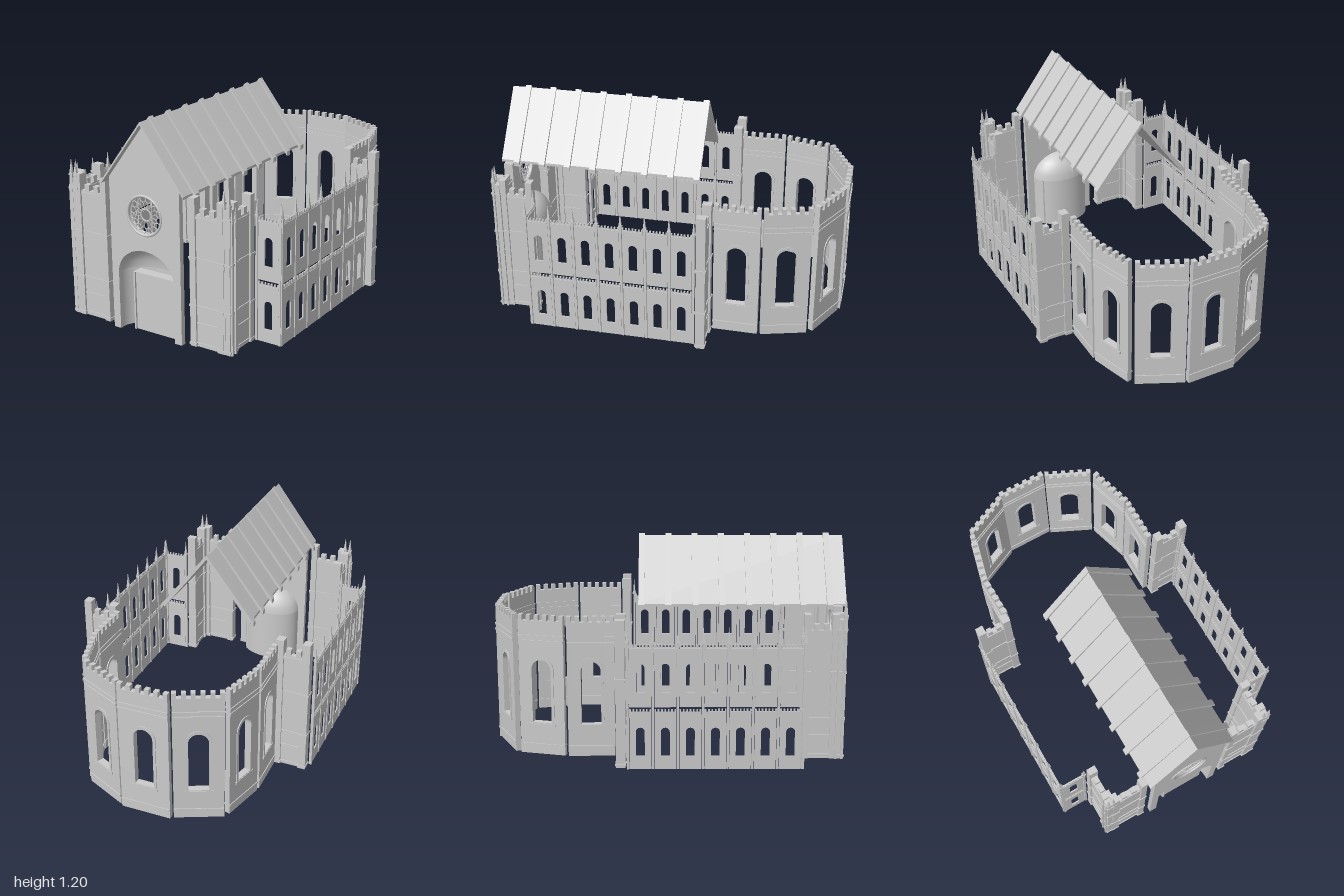
import * as THREE from 'three';

const mat = new THREE.MeshStandardMaterial({ color: 0xcccccc, side: THREE.DoubleSide });

function mesh(parent, name, geo, x = 0, y = 0, z = 0) {
  const m = new THREE.Mesh(geo, mat);
  m.name = name;
  m.position.set(x, y, z);
  parent.add(m);
  return m;
}

// box given by its centre in x and z and its bottom and top in y
const block = (parent, name, x, y0, y1, z, w, d) =>
  mesh(parent, name, new THREE.BoxGeometry(w, y1 - y0, d), x, (y0 + y1) / 2, z);

// extrude centred on z = 0
function slab(shape, depth, curveSegments = 12) {
  const g = new THREE.ExtrudeGeometry(shape, { depth, bevelEnabled: false, curveSegments });
  return g.translate(0, 0, -depth / 2);
}

// round-headed opening
function arch(path, x, y0, w, h) {
  path.moveTo(x - w / 2, y0);
  path.lineTo(x + w / 2, y0);
  path.lineTo(x + w / 2, y0 + h - w / 2);
  path.absarc(x, y0 + h - w / 2, w / 2, 0, Math.PI, false);
  path.closePath();
  return path;
}

// wall with battlements along its top
function crenelShape(len, y0, y1, rise, count) {
  const s = new THREE.Shape();
  s.moveTo(-len / 2, y0);
  s.lineTo(len / 2, y0);
  const step = len / (2 * count - 1);
  for (let i = 0; i < count; i++) {
    const x = len / 2 - 2 * i * step;
    s.lineTo(x, y1);
    s.lineTo(x, y1 + rise);
    s.lineTo(x - step, y1 + rise);
    s.lineTo(x - step, y1);
  }
  s.closePath();
  return s;
}

// group whose local x runs from a to b and whose +z faces outward
function span(parent, name, a, b) {
  const g = new THREE.Group();
  g.name = name;
  g.position.set((a[0] + b[0]) / 2, 0, (a[1] + b[1]) / 2);
  g.rotation.y = Math.atan2(a[1] - b[1], b[0] - a[0]);
  g.userData.len = Math.hypot(b[0] - a[0], b[1] - a[1]);
  parent.add(g);
  return g;
}

function pinnacle(parent, x, y0, y1, z, r) {
  const g = new THREE.ConeGeometry(r, y1 - y0, 4).rotateY(Math.PI / 4).toNonIndexed();
  g.computeVertexNormals();
  mesh(parent, 'pinnacle', g, x, (y0 + y1) / 2, z);
  block(parent, 'pinnacleCollar', x, y0 - 0.006, y0 + 0.006, z, r * 1.8, r * 1.8);
}

// two-storey aisle wall divided into window bays
function aisleWall(parent, a, b, bays) {
  const g = span(parent, 'aisleWall', a, b);
  const step = g.userData.len / bays;
  for (let i = 0; i <= bays; i++) {
    const px = -g.userData.len / 2 + i * step;
    block(g, 'pilaster', px, 0.01, 0.71, 0, 0.013, 0.016);
    pinnacle(g, px, 0.71, 0.8, 0, 0.011);
    if (i === bays) break;
    for (const [y0, y1, sill] of [[0.01, 0.335, 0.085], [0.36, 0.69, 0.44]]) {
      const s = crenelShape(step - 0.018, y0, y1, 0.014, 7);
      s.holes.push(arch(new THREE.Path(), 0, sill, 0.048, 0.16));
      mesh(g, 'aisleBay', slab(s, 0.008), px + step / 2);
      block(g, 'bayCornice', px + step / 2, y1 - 0.012, y1 - 0.004, 0, step - 0.018, 0.014);
    }
  }
}

// tall apse panel with a framed window
function apseWall(parent, a, b) {
  const g = span(parent, 'apseWall', a, b), L = g.userData.len;
  const s = crenelShape(L, 0.015, 0.78, 0.032, 6);
  s.holes.push(arch(new THREE.Path(), 0, 0.2, 0.11, 0.36));
  mesh(g, 'apsePanel', slab(s, 0.03));
  const f = arch(new THREE.Shape(), 0, 0.19, 0.142, 0.388);
  f.holes.push(arch(new THREE.Path(), 0, 0.2, 0.11, 0.36));
  mesh(g, 'windowFrame', slab(f, 0.04));
  block(g, 'windowSill', 0, 0.18, 0.195, 0, 0.155, 0.046);
  for (const y of [0.065, 0.66, 0.69]) block(g, 'stringCourse', 0, y, y + 0.01, 0, L, 0.04);
}

// plain battlemented wall held between two tall posts
function towerWall(parent, a, b, post = 0.037) {
  const g = span(parent, 'towerWall', a, b), L = g.userData.len;
  mesh(g, 'towerPanel', slab(crenelShape(L, 0.01, 0.74, 0.035, 4), 0.03));
  for (const y of [0.025, 0.14, 0.235, 0.5, 0.72]) block(g, 'stringCourse', 0, y, y + 0.01, 0, L, 0.04);
  for (const s of [-1, 1]) {
    const x = s * (L - post) / 2;
    block(g, 'towerPost', x, 0.01, 0.83, 0, post, 0.052);
    for (const y of [0.02, 0.235, 0.5]) block(g, 'postBand', x, y, y + 0.012, 0, post + 0.008, 0.06);
  }
}

// chevron cross-section of the roof
function chevron(w, y0, y1, t) {
  return new THREE.Shape([[-w, y0], [-w, y0 - t], [0, y1 - t], [w, y0 - t], [w, y0], [0, y1]]
    .map(p => new THREE.Vector2(...p)));
}

function buildRoof(parent) {
  const g = new THREE.Group();
  g.name = 'roof';
  g.position.x = -0.023;
  parent.add(g);
  mesh(g, 'roofSlopes', slab(chevron(0.265, 0.836, 1.187, 0.015), 1.17), 0, 0, 0.415);
  for (let i = 0; i < 8; i++)
    mesh(g, 'roofRib', slab(chevron(0.286, 0.835, 1.2, 0.026), 0.035), 0, 0, 0.905 - i * 0.1513);
}

function buildFacade(parent) {
  const g = new THREE.Group();
  g.name = 'facade';
  g.position.set(-0.021, 0, 0.97);
  parent.add(g);

  // gabled front with portal and rose openings
  const s = new THREE.Shape();
  s.moveTo(-0.226, 0);
  s.lineTo(-0.182, 0);
  s.lineTo(-0.182, 0.33);
  s.absellipse(0, 0.33, 0.182, 0.153, Math.PI, 0, true);
  s.lineTo(0.182, 0);
  s.lineTo(0.226, 0);
  s.lineTo(0.226, 0.86);
  s.lineTo(0, 1.158);
  s.lineTo(-0.226, 0.86);
  s.closePath();
  const hole = new THREE.Path();
  hole.absarc(0, 0.682, 0.107, 0, Math.PI * 2, true);
  s.holes.push(hole);
  mesh(g, 'gableWall', slab(s, 0.03, 24));

  // domed portal niche and door
  const dome = new THREE.SphereGeometry(1, 16, 6, Math.PI, -Math.PI, 0, Math.PI / 2);
  const back = new THREE.CylinderGeometry(1, 1, 0.33, 16, 1, true, Math.PI / 2, Math.PI);
  const pos = dome.attributes.position;
  for (let i = 0; i < pos.count; i++) pos.setZ(i, -Math.abs(pos.getZ(i)));
  dome.computeVertexNormals();
  mesh(g, 'portalDome', dome, 0, 0.33, -0.012).scale.set(0.182, 0.153, 0.13);
  mesh(g, 'portalNiche', back, 0, 0.165, -0.012).scale.set(0.182, 1, 0.13);
  block(g, 'door', 0.018, 0, 0.332, -0.06, 0.27, 0.06);
  block(g, 'doorEdge', -0.108, 0, 0.332, -0.026, 0.01, 0.012);

  // rose window
  const rose = new THREE.Group();
  rose.name = 'roseWindow';
  rose.position.y = 0.682;
  g.add(rose);
  mesh(rose, 'outerRing', new THREE.TorusGeometry(0.108, 0.008, 6, 40), 0, 0, 0.014);
  mesh(rose, 'outerRingBack', new THREE.TorusGeometry(0.108, 0.008, 6, 40), 0, 0, -0.014);
  mesh(rose, 'innerRing', new THREE.TorusGeometry(0.031, 0.004, 5, 24));
  const n = 16;
  for (let i = 0; i < n; i++) {
    const t = (i / n) * Math.PI * 2;
    const petal = mesh(rose, 'petal', new THREE.TorusGeometry(0.022, 0.0028, 4, 16),
      Math.cos(t) * 0.056, Math.sin(t) * 0.056, 0);
    petal.rotation.z = t;
    petal.scale.set(1.05, 0.48, 1);
    const u = t + Math.PI / n;
    mesh(rose, 'roundel', new THREE.TorusGeometry(0.0165, 0.0028, 4, 14), Math.cos(u) * 0.086, Math.sin(u) * 0.086, 0);
  }
}

// corner pier with clustered shafts and twin pinnacles
function cornerPier(parent, x, side) {
  const g = new THREE.Group();
  g.name = 'cornerPier';
  g.position.set(x, 0, 0.945);
  parent.add(g);
  block(g, 'pierCore', 0, 0.01, 0.8, 0, 0.05, 0.045);
  for (const y of [0.02, 0.235, 0.5, 0.74]) block(g, 'pierBand', 0, y, y + 0.012, 0, 0.06, 0.055);
  for (const s of [-1, 1]) {
    block(g, 'pinnacleBase', s * 0.015, 0.01, 0.82, 0.015, 0.018, 0.018);
    pinnacle(g, s * 0.015, 0.82, 0.91, 0.015, 0.013);
  }
  for (const z of [-0.02, 0.012]) {
    block(g, 'shaft', side * 0.03, 0.01, 0.74, z, 0.012, 0.012);
    pinnacle(g, side * 0.03, 0.74, 0.81, z, 0.009);
  }
}

export function createModel() {
  const root = new THREE.Group();
  root.name = 'cathedral';

  buildFacade(root);
  buildRoof(root);

  // front towers
  towerWall(root, [0.252, 0.945], [0.46, 0.945]);
  towerWall(root, [0.472, 0.925], [0.472, 0.735]);
  towerWall(root, [-0.5, 0.945], [-0.288, 0.945]);
  towerWall(root, [-0.512, 0.735], [-0.512, 0.925]);
  cornerPier(root, 0.475, 1);
  cornerPier(root, -0.512, -1);

  // aisles with their short front returns
  aisleWall(root, [0.655, 0.722], [0.655, -0.222], 7);
  aisleWall(root, [-0.698, -0.222], [-0.698, 0.722], 7);
  aisleWall(root, [0.508, 0.725], [0.65, 0.725], 1);
  aisleWall(root, [-0.693, 0.725], [-0.551, 0.725], 1);

  // transept walls
  towerWall(root, [0.697, -0.267], [0.493, -0.267], 0.045);
  towerWall(root, [-0.487, -0.262], [-0.685, -0.262], 0.045);

  // apse ring
  const ring = [
    [[0.476, -0.3], [0.478, -0.557]], [[0.478, -0.572], [0.405, -0.825]],
    [[0.388, -0.848], [0.138, -0.968]], [[0.13, -0.98], [-0.16, -0.98]],
    [[-0.168, -0.965], [-0.418, -0.85]], [[-0.425, -0.828], [-0.488, -0.575]],
    [[-0.492, -0.56], [-0.488, -0.3]],
  ];
  for (const [a, b] of ring) apseWall(root, a, b);

  return root;
}
